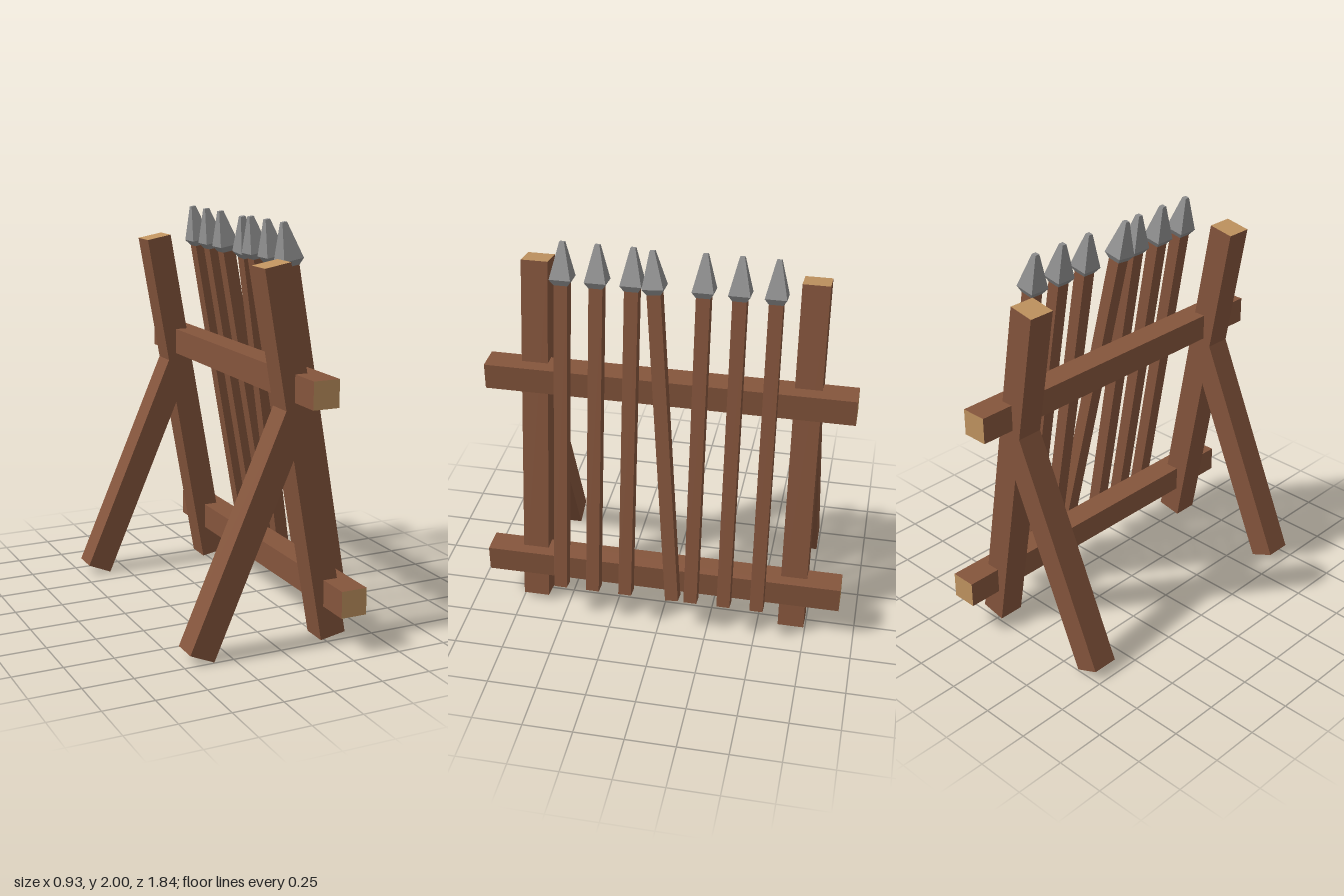
import * as THREE from 'three';

const wood = new THREE.MeshStandardMaterial({ color: 0x85553c });
wood.name = 'brown wood';
const cutWood = new THREE.MeshStandardMaterial({ color: 0xc0935f });
cutWood.name = 'pale cut wood';
const iron = new THREE.MeshStandardMaterial({ color: 0x8f8f8f });
iron.name = 'grey iron';

const BEAM = 0.133;    // beam thickness
const SHAFT = 0.067;   // spear shaft thickness
const SHAFT_LENGTH = 1.625;

// Square beam between two points, with pale cut ends
function beam(name, from, to) {
  const a = new THREE.Vector3(...from);
  const b = new THREE.Vector3(...to);
  const geometry = new THREE.BoxGeometry(BEAM, a.distanceTo(b), BEAM);
  const mesh = new THREE.Mesh(geometry, [wood, wood, cutWood, cutWood, wood, wood]);
  mesh.name = name;
  mesh.position.copy(a).add(b).multiplyScalar(0.5);
  mesh.quaternion.setFromUnitVectors(new THREE.Vector3(0, 1, 0), b.sub(a).normalize());
  return mesh;
}

// Four-sided spearhead: short flare, long taper, blunt tip
function spearheadGeometry() {
  const profile = [[0.034, 0], [0.052, 0.03], [0.012, 0.205], [0, 0.205]]
    .map(([half, y]) => new THREE.Vector2(half * Math.SQRT2, y));
  const geometry = new THREE.LatheGeometry(profile, 4, Math.PI / 4).toNonIndexed();
  geometry.computeVertexNormals();
  return geometry;
}

export function createModel() {
  const model = new THREE.Group();
  model.name = 'spearRack';

  // Leaning posts, each propped by a rear leg
  for (const [side, z] of [['front', 0.678], ['back', -0.678]]) {
    model.add(beam(side + 'Post', [0.285, 0.026, z], [-0.035, 1.835, z]));
    model.add(beam(side + 'Leg', [-0.408, 0.031, z], [0.09, 1.17, z]));
  }

  // Horizontal rails
  model.add(beam('upperRail', [0.125, 1.268, -0.918], [0.125, 1.268, 0.918]));
  model.add(beam('lowerRail', [0.295, 0.252, -0.918], [0.295, 0.252, 0.918]));

  // Spears leaning on the rails; the fourth one is tilted sideways
  const shaftGeometry = new THREE.BoxGeometry(SHAFT, SHAFT_LENGTH, SHAFT);
  shaftGeometry.translate(0, SHAFT_LENGTH / 2, 0);
  const headGeometry = spearheadGeometry();
  const spears = [[0.509, 0], [0.34, 0], [0.17, 0], [-0.075, 0.086],
    [-0.17, 0], [-0.34, 0], [-0.509, 0]];
  for (const [z, tilt] of spears) {
    const spear = new THREE.Group();
    spear.name = 'spear';
    const shaft = new THREE.Mesh(shaftGeometry, wood);
    shaft.name = 'shaft';
    const head = new THREE.Mesh(headGeometry, iron);
    head.name = 'spearhead';
    head.position.y = SHAFT_LENGTH;
    spear.add(shaft, head);
    spear.position.set(0.432, 0.2, z);
    spear.rotation.set(tilt, 0, 0.1745);
    model.add(spear);
  }
  return model;
}
